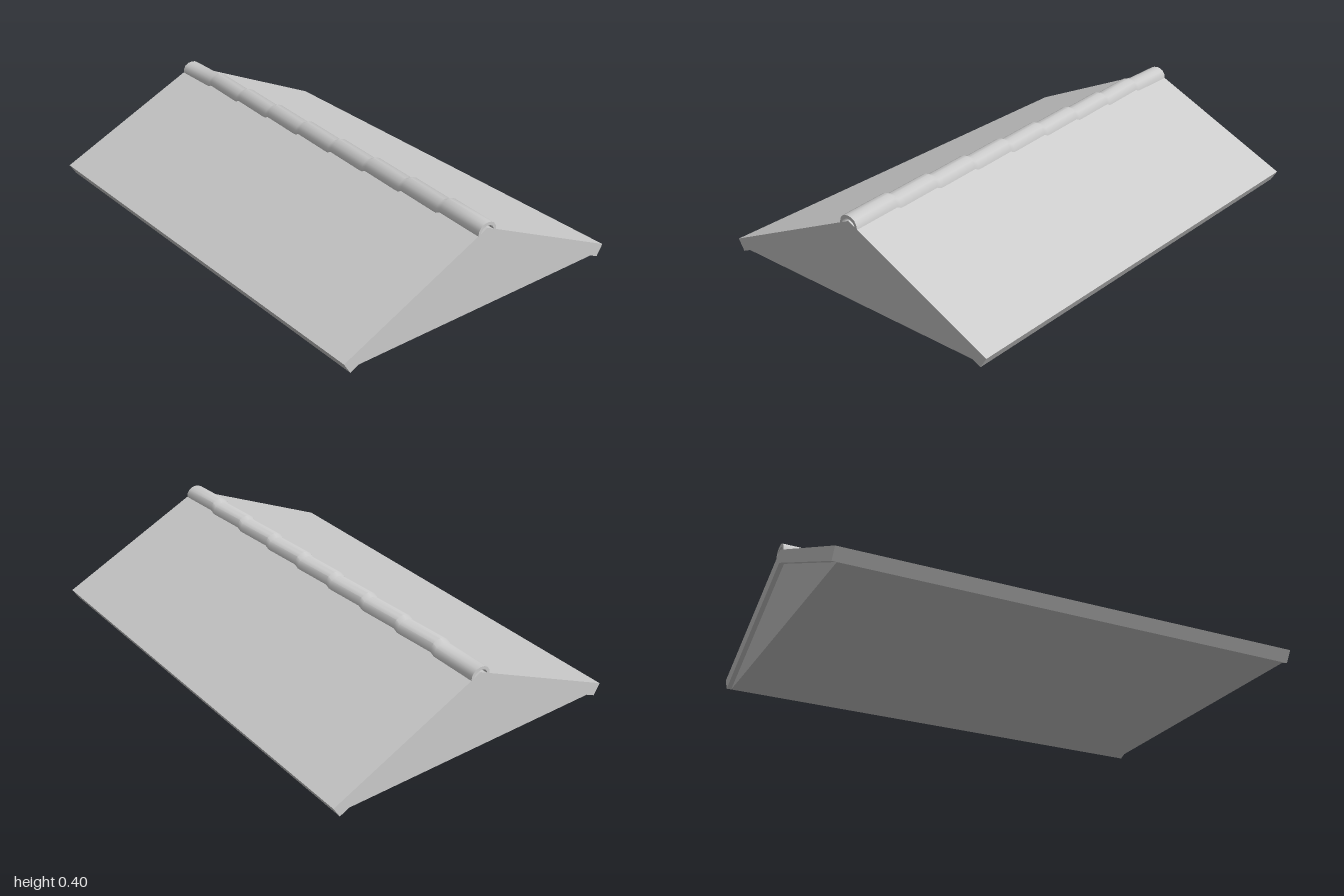
import * as THREE from 'three';
import { toCreasedNormals } from 'three/addons/utils/BufferGeometryUtils.js';

const LENGTH = 2;
const TILES = 9;
const PITCH = LENGTH / TILES;

const shapeFrom = (points) => new THREE.Shape(points.map(([x, y]) => new THREE.Vector2(x, y)));

// Straight prism along z, centred on z = 0
function prism(points, depth) {
  const geometry = new THREE.ExtrudeGeometry(shapeFrom(points), { depth, bevelEnabled: false });
  return geometry.translate(0, 0, -depth / 2);
}

// Hollow arch swept along the ridge, climbing and dropping once per tile
function ridgeGeometry() {
  const half = [[0.046, 0.343], [0.043, 0.362], [0.033, 0.377], [0.018, 0.385], [0, 0.388]];
  const inner = [[0.034, 0.343], [0.031, 0.357], [0.023, 0.367], [0.012, 0.372], [0, 0.374]];
  const arch = (side) => [...side, ...side.slice(0, -1).reverse().map(([x, y]) => [-x, y])];
  const profile = [...arch(half), ...arch(inner).reverse()];

  // Stations [z, lift] from back to front
  const stations = [[-1, 0]];
  for (let k = TILES - 1; k >= 1; k--) {
    const joint = 1 - k * PITCH;
    stations.push([joint - 0.012, 0], [joint + 0.01, 0.011]);
  }
  stations.push([1, 0]);

  const steps = stations.length - 1;
  const geometry = new THREE.ExtrudeGeometry(shapeFrom(profile), { depth: steps, steps, bevelEnabled: false });
  const p = geometry.attributes.position;
  for (let i = 0; i < p.count; i++) {
    const [z, lift] = stations[Math.round(p.getZ(i))];
    p.setY(i, p.getY(i) + lift);
    p.setZ(i, z);
  }
  return toCreasedNormals(geometry, 0.6);
}

export function createModel() {
  const group = new THREE.Group();
  const material = new THREE.MeshStandardMaterial({ color: 0xcccccc });
  const add = (name, geometry) => {
    const mesh = new THREE.Mesh(geometry, material);
    mesh.name = name;
    group.add(mesh);
  };

  // Two sloping slabs meeting at the ridge
  add('roofSlabs', prism([
    [-0.657, 0], [0, 0.305], [0.657, 0], [0.686, 0.048], [0, 0.365], [-0.686, 0.048],
  ], LENGTH));

  // Solid filling with slightly recessed gable ends
  add('gableBody', prism([[-0.657, 0], [0.657, 0], [0, 0.305]], LENGTH - 0.04));

  // Row of overlapping ridge tiles
  add('ridgeTiles', ridgeGeometry());

  return group;
}
